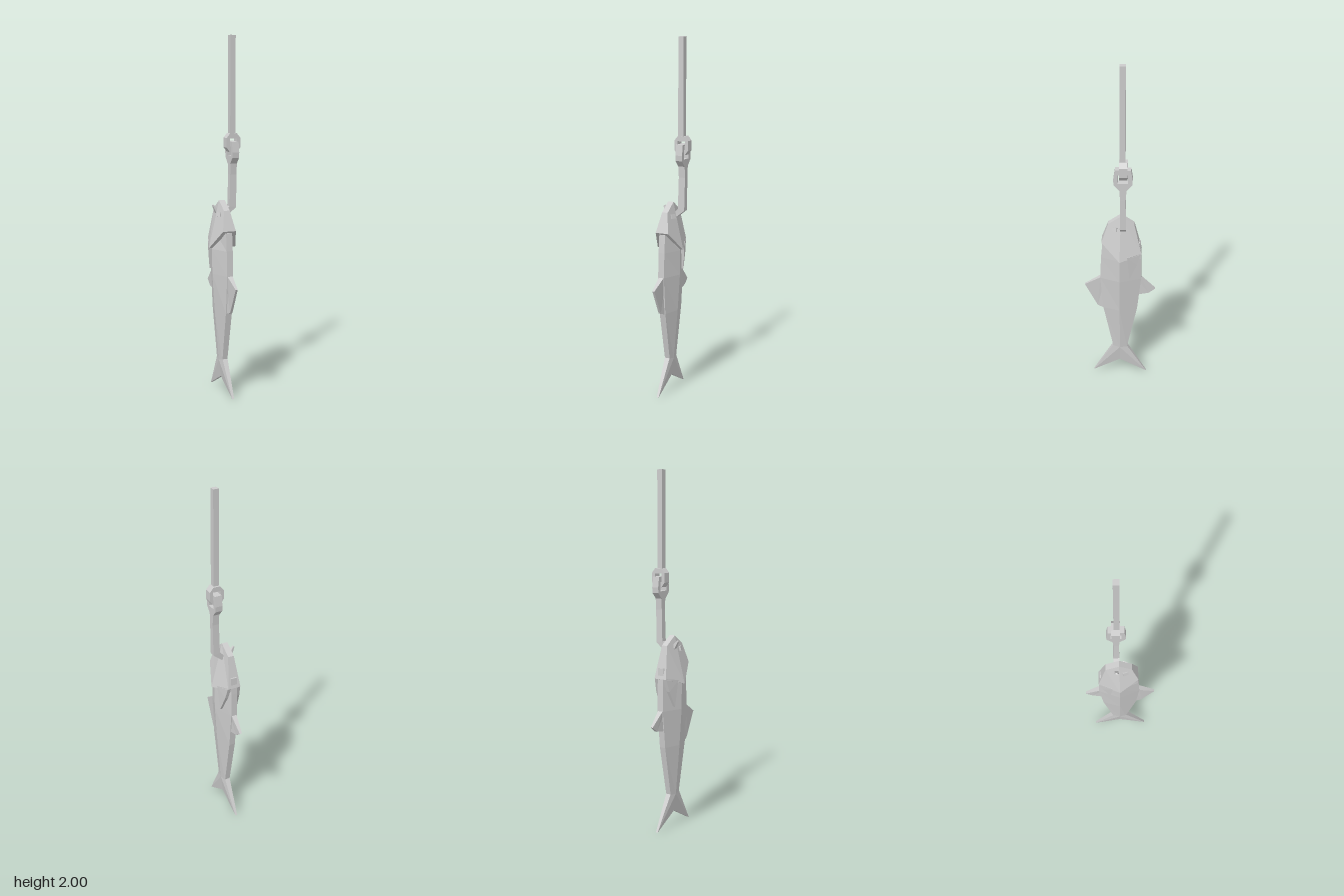
import * as THREE from 'three';

const material = new THREE.MeshStandardMaterial({ color: 0xcccccc, flatShading: true });

function addMesh(parent, name, geometry, x = 0, y = 0, z = 0) {
  const mesh = new THREE.Mesh(geometry, material);
  mesh.name = name;
  mesh.position.set(x, y, z);
  parent.add(mesh);
  return mesh;
}

// Closed solid through equal-length loops of [x, y, z]; ends are capped in strips.
function loft(loops) {
  const n = loops[0].length;
  const tris = [];
  const quad = (a, b, c, d) => tris.push([a, b, c], [a, c, d]);
  for (let k = 0; k + 1 < loops.length; k++) {
    for (let i = 0; i < n; i++) {
      const j = (i + 1) % n;
      quad(loops[k][i], loops[k][j], loops[k + 1][j], loops[k + 1][i]);
    }
  }
  const first = loops[0], last = loops[loops.length - 1];
  for (let i = 0; i + 1 < n - 1 - i; i++) {
    const a = n - 1 - i, b = n - 2 - i;
    quad(first[i], first[a], first[b], first[i + 1]);
    quad(last[i], last[i + 1], last[b], last[a]);
  }
  // Turn all faces outward by the sign of the enclosed volume.
  const v = (p) => new THREE.Vector3(...p);
  const volume = tris.reduce((s, [a, b, c]) => s + v(a).dot(v(b).cross(v(c))), 0);
  if (volume < 0) tris.forEach((t) => t.reverse());
  const geometry = new THREE.BufferGeometry();
  geometry.setAttribute('position', new THREE.Float32BufferAttribute(tris.flat(2), 3));
  geometry.computeVertexNormals();
  return geometry;
}

// Mirrored six-sided section from its front, side and back corners [halfWidth, y, z].
const section = (...half) => [...half, ...half.slice().reverse().map(([x, y, z]) => [-x, y, z])];

// Fin plate from corners [z, y, halfWidth].
const plate = (pts) => loft([1, -1].map((s) => pts.map(([z, y, w]) => [s * w, y, z])));

// Flat ring cut from an outline with a rectangular hole.
function flatRing(outline, hw, y0, y1, depth) {
  const toPoints = (list) => list.map(([a, b]) => new THREE.Vector2(a, b));
  const shape = new THREE.Shape(toPoints(outline));
  shape.holes.push(new THREE.Path(toPoints([[-hw, y0], [-hw, y1], [hw, y1], [hw, y0]])));
  return new THREE.ExtrudeGeometry(shape, { depth, bevelEnabled: false }).translate(0, 0, -depth / 2);
}

function buildFish() {
  const fish = new THREE.Group();
  fish.name = 'fish';
  fish.position.x = -0.014;

  // Body: [y, front z, back z, edge half width, side half width]
  const rows = [
    [0.93, 0.098, -0.116, 0.018, 0.045],
    [0.83, 0.107, -0.12, 0.018, 0.061],
    [0.69, 0.113, -0.122, 0.018, 0.06],
    [0.48, 0.096, -0.1, 0.018, 0.046],
    [0.19, 0.038, -0.042, 0.015, 0.022],
  ];
  addMesh(fish, 'body', loft(rows.map(([y, f, b, e, s]) => section([e, y, f], [s, y, 0], [e, y, b]))));

  // Head with flared gill covers
  addMesh(fish, 'head', loft([
    section([0.017, 1.05, 0.066], [0.017, 1.1, -0.005], [0.017, 1.05, -0.08]),
    section([0.038, 0.94, 0.103], [0.08, 0.835, 0], [0.038, 0.87, -0.122]),
  ]));

  // Fins along the front and back edges
  addMesh(fish, 'frontFin', plate([
    [0.08, 0.7, 0.015], [0.113, 0.69, 0.015], [0.203, 0.635, 0.006],
    [0.13, 0.49, 0.007], [0.09, 0.475, 0.014],
  ]));
  addMesh(fish, 'backFin', plate([
    [-0.09, 0.7, 0.015], [-0.122, 0.69, 0.015], [-0.203, 0.615, 0.007],
    [-0.165, 0.585, 0.008], [-0.09, 0.575, 0.015],
  ]));

  for (const s of [1, -1]) {
    const side = s > 0 ? 'left' : 'right';
    // Forked tail lobes
    addMesh(fish, s > 0 ? 'frontTailLobe' : 'backTailLobe', plate([
      [0, 0.19, 0.022], [s * 0.041, 0.2, 0.015], [s * 0.158, 0.003, 0.006], [0, 0.09, 0.009],
    ]));
    // Side fins hanging from the gill covers
    const fin = [[0.066, 0.86, -0.042], [0.054, 0.71, -0.056], [0.045, 0.8, -0.097], [0.038, 0.875, -0.12]];
    addMesh(fish, side + 'SideFin', loft([0, 0.03].map((d) => fin.map(([x, y, z]) => [s * (x - d), y, z]))));
    // Eyes
    const eye = addMesh(fish, side + 'Eye', new THREE.BoxGeometry(0.012, 0.025, 0.03), s * 0.031, 1.025, 0.03);
    eye.rotation.set(0, s * -0.35, s * 0.25);
  }
  return fish;
}

function buildHook() {
  const hook = new THREE.Group();
  hook.name = 'hook';
  hook.position.z = -0.019;

  // Bent square bar: [x, y, half width, half depth]
  const path = [
    [0.055, 1.34, 0.019, 0.022], [0.055, 1.24, 0.019, 0.015], [0.051, 1.06, 0.02, 0.017],
    [0.005, 1.02, 0.014, 0.016], [-0.038, 1.035, 0.011, 0.013], [-0.062, 1.073, 0.004, 0.006],
  ];
  addMesh(hook, 'hookBar', loft(path.map(([x, y, w, d], i) => {
    const a = path[Math.max(i - 1, 0)], b = path[Math.min(i + 1, path.length - 1)];
    const len = Math.hypot(b[0] - a[0], b[1] - a[1]);
    const nx = -(b[1] - a[1]) / len * w, ny = (b[0] - a[0]) / len * w;
    return [[x + nx, y + ny, d], [x - nx, y - ny, d], [x - nx, y - ny, -d], [x + nx, y + ny, -d]];
  })));

  // Eye of the hook, facing sideways
  const eyeOutline = [[-0.018, 1.3], [0.018, 1.3], [0.05, 1.335], [0.052, 1.365], [0.043, 1.423],
    [-0.043, 1.423], [-0.052, 1.365], [-0.05, 1.335]];
  addMesh(hook, 'hookEye', flatRing(eyeOutline, 0.028, 1.343, 1.395, 0.04).rotateY(Math.PI / 2), 0.054);
  return hook;
}

export function createModel() {
  const model = new THREE.Group();
  model.name = 'hangingFish';
  model.add(buildFish(), buildHook());

  // Rope end loop linked through the hook eye
  const loop = [[-0.022, 1.365], [0.022, 1.365], [0.041, 1.39], [0.041, 1.443], [0.02, 1.468],
    [-0.02, 1.468], [-0.041, 1.443], [-0.041, 1.39]];
  addMesh(model, 'ropeLoop', flatRing(loop, 0.022, 1.395, 1.44, 0.046), 0.053, 0, -0.021);

  // Rope
  addMesh(model, 'rope', new THREE.BoxGeometry(0.032, 0.54, 0.032), 0.05, 1.73, -0.016);
  return model;
}
